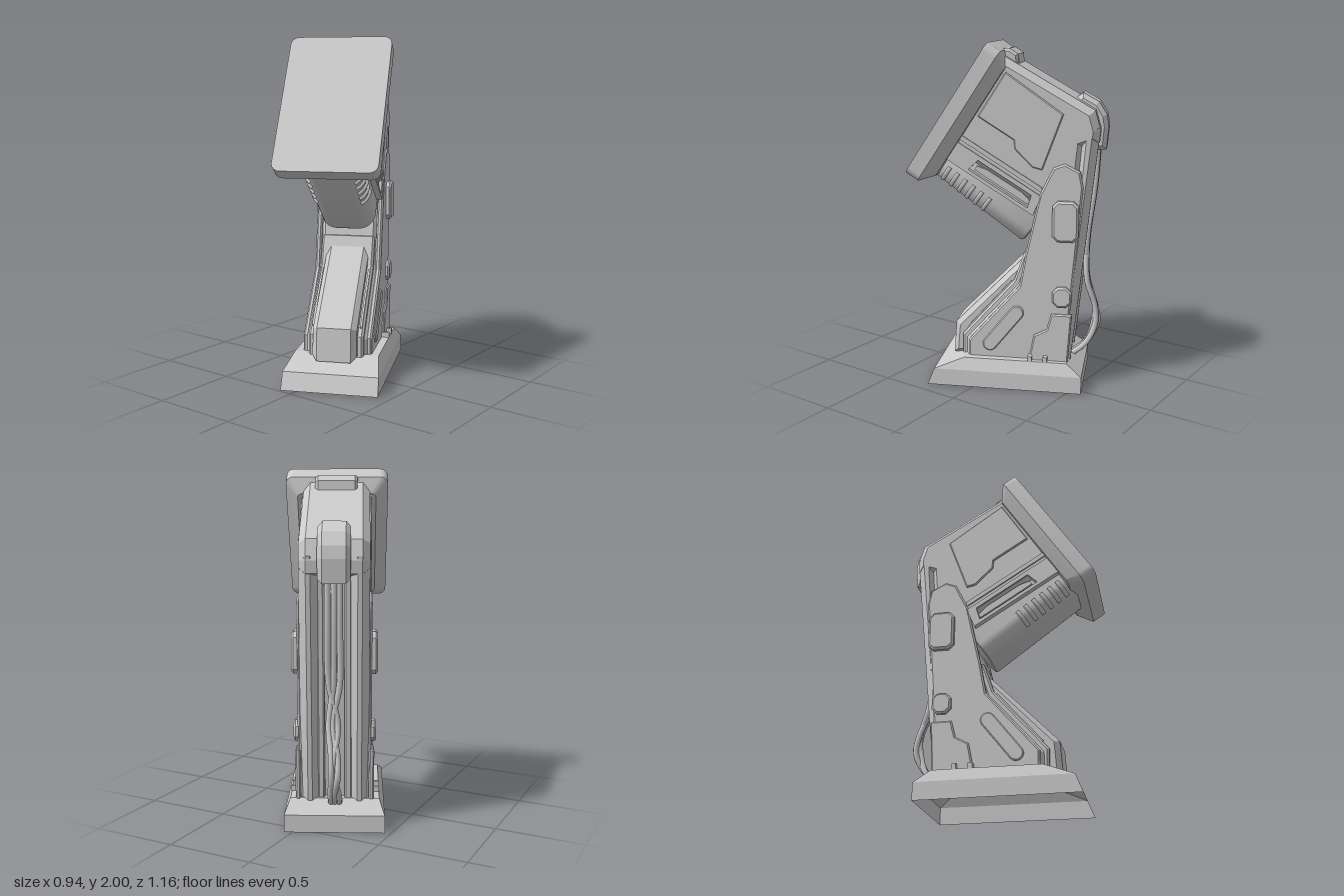
import * as THREE from 'three';
import { toCreasedNormals } from 'three/addons/utils/BufferGeometryUtils.js';

const material = new THREE.MeshStandardMaterial({ color: 0xcccccc });
const openMaterial = new THREE.MeshStandardMaterial({ color: 0xcccccc, side: THREE.DoubleSide });

function add(parent, name, geometry, mat = material) {
  const mesh = new THREE.Mesh(geometry, mat);
  mesh.name = name;
  parent.add(mesh);
  return mesh;
}

const toShape = (pts) => new THREE.Shape(pts.map((p) => new THREE.Vector2(p[0], p[1])));

// Side profile of (z, y) points, extruded along x from x0 to x1 with chamfered edges
function slab(profile, x0, x1, bevel = 0, hole = null) {
  const shape = toShape(profile);
  if (hole) shape.holes.push(toShape(hole));
  const depth = x1 - x0 - 2 * bevel;
  const g = new THREE.ExtrudeGeometry(shape, {
    depth, bevelEnabled: bevel > 0, bevelThickness: bevel, bevelSize: bevel,
    bevelOffset: -bevel, bevelSegments: 1, curveSegments: 8,
  });
  g.translate(0, 0, -depth / 2);
  g.rotateY(-Math.PI / 2);
  g.translate((x0 + x1) / 2, 0, 0);
  return g;
}

// The same slab on both sides
function pair(parent, name, profile, x0, x1, bevel, hole) {
  add(parent, name + 'Left', slab(profile, x0, x1, bevel, hole));
  add(parent, name + 'Right', slab(profile, -x1, -x0, bevel, hole));
}

// Skin over rings of equal point count, with optional end caps
function loft(rings, capStart, capEnd) {
  const pos = [], n = rings[0].length;
  const tri = (a, b, c) => pos.push(...a, ...b, ...c);
  for (let k = 0; k + 1 < rings.length; k++) {
    for (let i = 0; i < n; i++) {
      const j = (i + 1) % n, A = rings[k], B = rings[k + 1];
      tri(A[i], A[j], B[j]);
      tri(A[i], B[j], B[i]);
    }
  }
  const last = rings[rings.length - 1];
  for (let i = 1; i + 1 < n; i++) {
    if (capStart) tri(rings[0][0], rings[0][i + 1], rings[0][i]);
    if (capEnd) tri(last[0], last[i], last[i + 1]);
  }
  const g = new THREE.BufferGeometry();
  g.setAttribute('position', new THREE.Float32BufferAttribute(pos, 3));
  g.computeVertexNormals();
  return g;
}

// Rectangle with cut corners, c = cut
const cutRect = (z0, z1, y0, y1, c) => [
  [z0 + c, y0], [z1 - c, y0], [z1, y0 + c], [z1, y1 - c],
  [z1 - c, y1], [z0 + c, y1], [z0, y1 - c], [z0, y0 + c],
];

// Rounded rectangle ring, counter-clockwise in x/y
function roundRing(w, h, r, z) {
  const ring = [];
  [[1, 1], [-1, 1], [-1, -1], [1, -1]].forEach(([sx, sy], q) => {
    for (let i = 0; i <= 6; i++) {
      const a = (q + i / 6) * Math.PI / 2;
      ring.push([sx * (w - r) + r * Math.cos(a), sy * (h - r) + r * Math.sin(a), z]);
    }
  });
  return ring;
}

function buildBase(parent) {
  // hollow plinth, open underneath
  const ring = (w, back, front, y) => [[-w, y, front], [w, y, front], [w, y, back], [-w, y, back]];
  add(parent, 'base', loft([
    ring(0.282, -0.505, 0.405, 0), ring(0.28, -0.505, 0.365, 0.1), ring(0.25, -0.416, 0.19, 0.17),
  ], false, true), openMaterial);
  // small clips where the column meets the base
  for (const z of [-0.2, -0.29]) {
    pair(parent, 'baseClip', [[z - 0.012, 0.15], [z + 0.012, 0.15], [z + 0.012, 0.2], [z - 0.012, 0.2]], 0.2, 0.252);
  }
}

function buildColumn(parent) {
  // column and head block in one profile, with a recessed back
  add(parent, 'body', slab([
    [0.2, 0.14], [0.2, 0.27], [-0.11, 0.62], [-0.17, 0.8], [-0.19, 0.9], [-0.26, 1.06],
    [0.29, 1.407], [-0.03, 1.925], [-0.545, 1.63], [-0.577, 1.52], [-0.57, 1.45],
    [-0.49, 1.42], [-0.37, 0.14],
  ].reverse(), -0.19, 0.19, 0.04));
  // back rails either side of the cable channel
  pair(parent, 'backRail', [[-0.35, 0.14], [-0.47, 1.56], [-0.577, 1.54], [-0.428, 0.14]].reverse(), 0.085, 0.19, 0.04);
  pair(parent, 'innerRail', [[-0.36, 0.16], [-0.48, 1.45], [-0.53, 1.45], [-0.405, 0.16]].reverse(), 0.055, 0.095, 0.008);
  // raised side plates
  pair(parent, 'sidePlate', [
    [0.17, 0.155], [0.17, 0.265], [-0.13, 0.61], [-0.165, 0.8], [-0.245, 1.155], [-0.321, 1.31],
    [-0.385, 1.335], [-0.473, 1.29], [-0.49, 1.2], [-0.4, 0.155],
  ], 0.17, 0.205, 0.01);
  pair(parent, 'steppedPanel', [
    [-0.185, 0.16], [-0.2, 0.22], [-0.22, 0.32], [-0.295, 0.36], [-0.32, 0.455], [-0.44, 0.455], [-0.42, 0.16],
  ], 0.19, 0.22, 0.008);
  pair(parent, 'largePad', cutRect(-0.47, -0.32, 0.89, 1.125, 0.03), 0.19, 0.236, 0.012);
  pair(parent, 'smallPad', cutRect(-0.435, -0.325, 0.5, 0.62, 0.03), 0.19, 0.228, 0.01);
  // slanted capsule on each side
  const capsule = [], dir = Math.atan2(0.2, -0.159);
  for (let i = 0; i < 18; i++) {
    const end = i < 9, a = dir + (end ? -Math.PI / 2 + i * Math.PI / 8 : Math.PI / 2 + (i - 9) * Math.PI / 8);
    capsule.push([(end ? -0.117 : 0.042) + 0.042 * Math.cos(a), (end ? 0.45 : 0.25) + 0.042 * Math.sin(a)]);
  }
  pair(parent, 'sideCapsule', capsule, 0.19, 0.215, 0.006);
  // front plate, wedge and trim strips
  add(parent, 'frontPlate', slab([
    [-0.19, 0.81], [-0.155, 0.81], [-0.095, 0.635], [0.213, 0.285], [0.213, 0.15], [0.17, 0.15], [0.17, 0.24], [-0.14, 0.6],
  ].reverse(), -0.163, 0.163, 0.012));
  add(parent, 'frontWedge', slab([
    [-0.155, 0.77], [0.265, 0.34], [0.28, 0.145], [0.1, 0.145], [-0.2, 0.7],
  ].reverse(), -0.13, 0.13, 0.03));
  pair(parent, 'frontTrim', [[-0.075, 0.625], [0.18, 0.335], [0.17, 0.3], [-0.1, 0.6]].reverse(), 0.138, 0.15);
  // hood over the top of the cable channel
  add(parent, 'cableHood', slab([
    [-0.415, 1.68], [-0.47, 1.72], [-0.56, 1.67], [-0.605, 1.6], [-0.617, 1.53], [-0.605, 1.4], [-0.5, 1.4], [-0.46, 1.6],
  ], -0.088, 0.088, 0.025));
}

function buildCables(parent) {
  [[-0.03, -0.03, 0.01, -0.02, 0], [0.0, 0.005, 0.03, 0.015, 0.02], [0.035, 0.03, -0.02, 0, -0.025]].forEach((x, i) => {
    const path = new THREE.CatmullRomCurve3([
      [x[0], 1.48, -0.56], [x[0], 1.2, -0.545], [x[1], 0.85, -0.505], [x[2], 0.62, -0.51],
      [x[3], 0.45, -0.56], [x[3], 0.34, -0.575 + 0.012 * i], [x[4], 0.22, -0.51], [x[4], 0.14, -0.42],
    ].map((p) => new THREE.Vector3(...p)));
    add(parent, 'cable' + (i + 1), new THREE.TubeGeometry(path, 48, 0.017, 8));
  });
}

// Head frame: y runs up along the screen, -z runs back from it
function buildHead(parent) {
  const head = new THREE.Group();
  head.name = 'head';
  head.position.set(0, 1.63, 0.27);
  head.rotation.x = -0.558;
  parent.add(head);

  const panel = add(head, 'screenPanel', toCreasedNormals(loft([
    roundRing(0.225, 0.365, 0.03, -0.15), roundRing(0.295, 0.435, 0.05, -0.085), roundRing(0.295, 0.435, 0.05, 0),
  ], true, true), 0.5));
  panel.position.z = 0.009;
  panel.rotation.x = -0.02;
  add(head, 'topBlock', slab([[-0.03, 0.36], [-0.05, 0.42], [-0.1, 0.455], [-0.16, 0.455], [-0.2, 0.4], [-0.2, 0.36]], -0.12, 0.12, 0.015));

  // side cover, ledge and lower window frame
  pair(head, 'sideCover', [
    [-0.16, 0.345], [-0.557, 0.324], [-0.625, -0.005], [-0.57, -0.023], [-0.43, 0.01], [-0.4, 0.05], [-0.157, 0.05],
  ], 0.17, 0.2, 0.006);
  pair(head, 'sideLedge', [[-0.1, -0.09], [-0.68, -0.09], [-0.69, -0.115], [-0.1, -0.115]], 0.17, 0.2);
  pair(head, 'windowFrame', [[-0.11, -0.135], [-0.7, -0.135], [-0.72, -0.255], [-0.11, -0.255]], 0.15, 0.2, 0,
    [[-0.29, -0.16], [-0.27, -0.235], [-0.67, -0.235], [-0.65, -0.16]]);
  pair(head, 'windowBar', [[-0.3, -0.195], [-0.36, -0.18], [-0.6, -0.18], [-0.66, -0.195], [-0.66, -0.22], [-0.3, -0.22]], 0.15, 0.185);

  // rounded barrel beneath the head, sloping down towards the column
  const barrelGroup = new THREE.Group();
  barrelGroup.name = 'barrelAssembly';
  barrelGroup.position.y = 0.035;
  barrelGroup.rotation.x = -0.08;
  head.add(barrelGroup);
  const w = 0.165, r = 0.1, bottom = -0.42;
  const s = new THREE.Shape();
  s.moveTo(-w, -0.16);
  s.lineTo(-w, bottom + r);
  s.absarc(-w + r, bottom + r, r, Math.PI, Math.PI * 1.5, false);
  s.absarc(w - r, bottom + r, r, Math.PI * 1.5, Math.PI * 2, false);
  s.lineTo(w, -0.16);
  const barrel = new THREE.ExtrudeGeometry(s, {
    depth: 0.66, bevelEnabled: true, bevelThickness: 0.02, bevelSize: 0.02, bevelOffset: -0.02, bevelSegments: 2, curveSegments: 10,
  });
  barrel.translate(0, 0, -0.77);
  add(barrelGroup, 'barrel', toCreasedNormals(barrel, 0.5));

  // curved vent ribs around the lower corners of the barrel
  for (const side of [1, -1]) {
    for (let i = 0; i < 6; i++) {
      const arc = new THREE.TorusGeometry(r, 0.014, 6, 10, 1.05);
      arc.rotateZ(side > 0 ? -0.95 : Math.PI - 0.1);
      const rib = add(barrelGroup, 'ventRib', arc);
      rib.position.set(side * (w - r), bottom + r, -0.2 - i * 0.058);
    }
  }
}

export function createModel() {
  const model = new THREE.Group();
  model.name = 'screenStand';
  const turned = new THREE.Group();
  turned.name = 'stand';
  turned.rotation.y = THREE.MathUtils.degToRad(25);
  model.add(turned);
  buildBase(turned);
  buildColumn(turned);
  buildCables(turned);
  buildHead(turned);
  return model;
}
